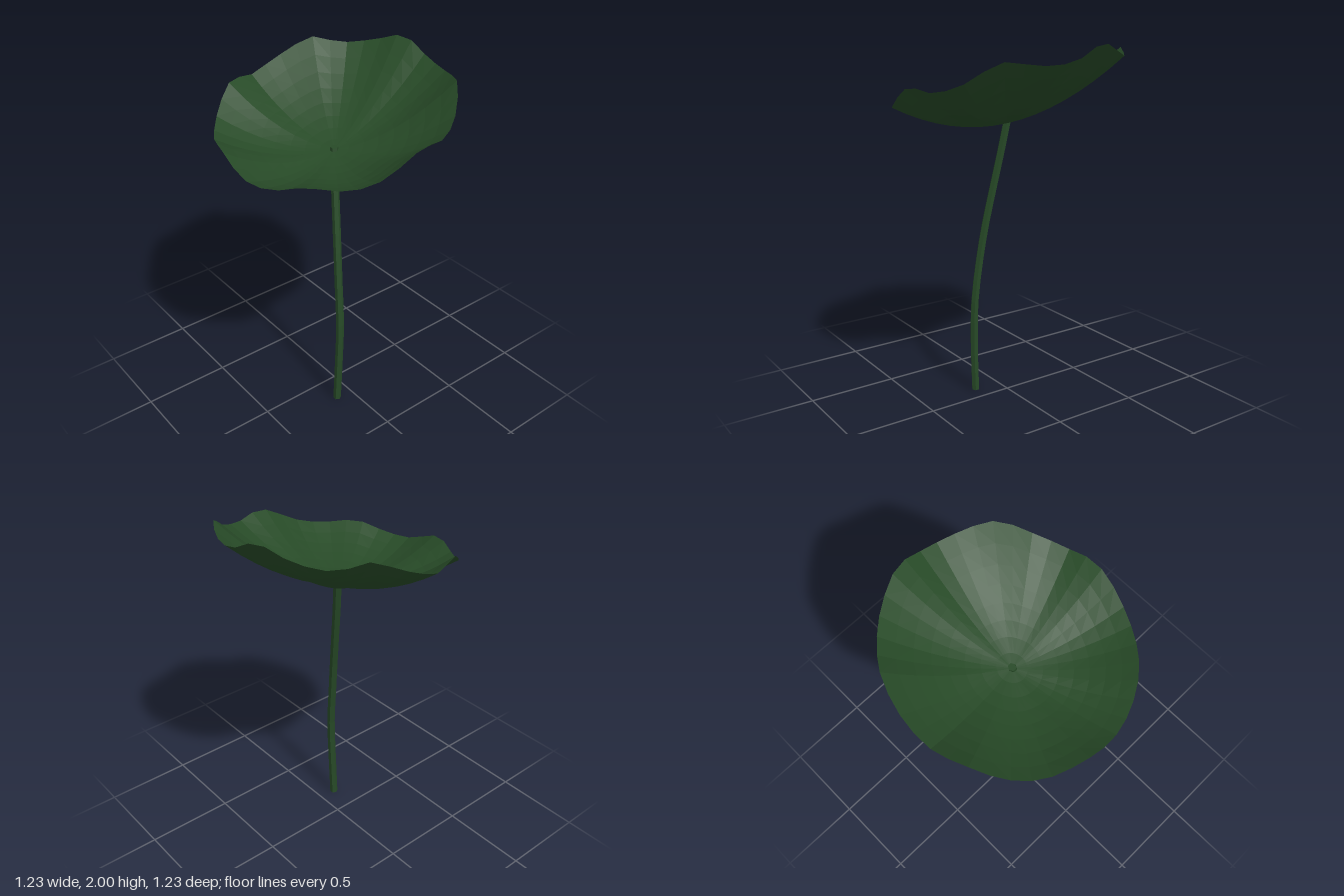
import * as THREE from 'three';

const RADIUS = 0.615;
const SEGMENTS = 40;
const RINGS = 8;
const HUB_Y = 1.56;

// Rim heights every 9 degrees, starting at +x and turning towards the back
const RIM = [
  1.78, 1.79, 1.775, 1.79, 1.825, 1.885, 1.93, 1.92, 1.91, 1.915,
  1.94, 1.99, 2.0, 1.965, 1.94, 1.925, 1.935, 1.96, 1.925, 1.88,
  1.84, 1.81, 1.825, 1.825, 1.77, 1.715, 1.68, 1.675, 1.695, 1.69,
  1.65, 1.615, 1.61, 1.625, 1.655, 1.66, 1.65, 1.655, 1.68, 1.73,
];

// Tilted shallow bowl whose ripples grow towards the rim
function leafGeometry() {
  const positions = [0, HUB_Y, 0];
  const index = [];
  for (let ring = 1; ring <= RINGS; ring++) {
    const t = ring / RINGS;
    for (let i = 0; i < SEGMENTS; i++) {
      const a = (i / SEGMENTS) * Math.PI * 2;
      const tilt = 0.15 * Math.sin(a) - 0.065 * Math.cos(a);
      const rise = RIM[i] - HUB_Y - tilt;
      positions.push(RADIUS * t * Math.cos(a), HUB_Y + tilt * t + rise * t * t, -RADIUS * t * Math.sin(a));

      const next = (i + 1) % SEGMENTS;
      const outer = 1 + (ring - 1) * SEGMENTS;
      const inner = outer - SEGMENTS;
      if (ring === 1) index.push(0, outer + i, outer + next);
      else index.push(inner + i, outer + i, outer + next, inner + i, outer + next, inner + next);
    }
  }
  const geometry = new THREE.BufferGeometry();
  geometry.setAttribute('position', new THREE.Float32BufferAttribute(positions, 3));
  geometry.setIndex(index);
  const flat = geometry.toNonIndexed();
  flat.computeVertexNormals();
  return flat;
}

// Six-sided stalk bent along a curve, ending just above the leaf
function stemGeometry() {
  const path = [
    [0.155, 0, 0.1], [0.165, 0.3, 0.095], [0.163, 0.55, 0.086], [0.135, 0.8, 0.075],
    [0.105, 1.0, 0.06], [0.068, 1.2, 0.04], [0.03, 1.4, 0.019], [0, 1.575, 0],
  ].map((p) => new THREE.Vector3(...p));
  const curve = new THREE.CatmullRomCurve3(path);
  const geometry = new THREE.CylinderGeometry(0.022, 0.023, 1, 6, 14);
  geometry.rotateY(Math.PI / 6);
  const pos = geometry.attributes.position;
  for (let i = 0; i < pos.count; i++) {
    const t = THREE.MathUtils.clamp(pos.getY(i) + 0.5, 0, 1);
    const c = curve.getPoint(t);
    pos.setXYZ(i, pos.getX(i) + c.x, c.y, pos.getZ(i) + c.z);
  }
  const flat = geometry.toNonIndexed();
  flat.computeVertexNormals();
  return flat;
}

export function createModel() {
  const group = new THREE.Group();
  group.name = 'lilyLeaf';

  const green = new THREE.MeshStandardMaterial({
    name: 'deepGreen', color: 0x274a27, flatShading: true, side: THREE.DoubleSide,
  });

  const leaf = new THREE.Mesh(leafGeometry(), green);
  leaf.name = 'leaf';
  const stem = new THREE.Mesh(stemGeometry(), green);
  stem.name = 'stem';
  group.add(leaf, stem);
  return group;
}
